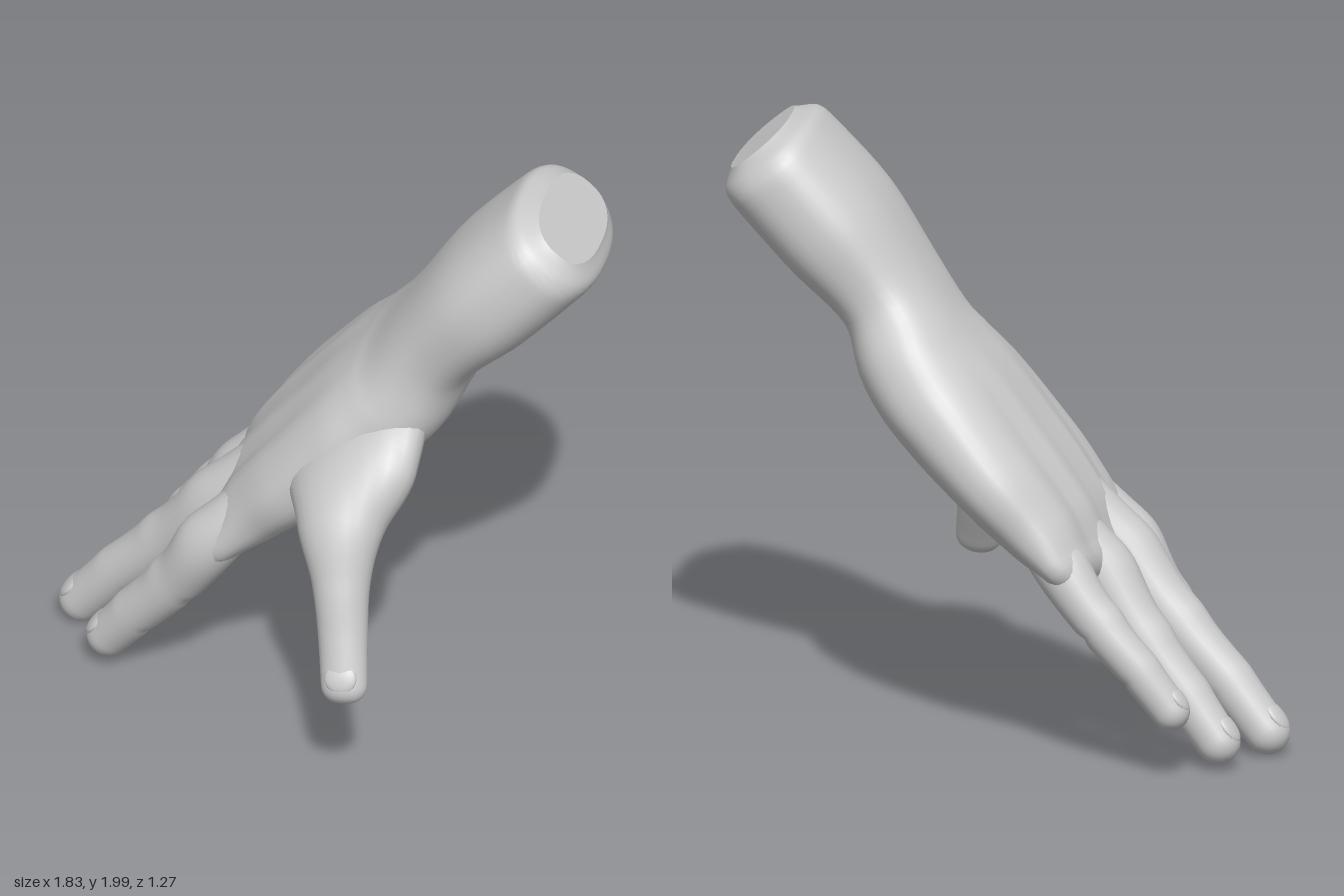
import * as THREE from 'three';
import { toCreasedNormals } from 'three/addons/utils/BufferGeometryUtils.js';

const material = new THREE.MeshStandardMaterial({ color: 0xcccccc });
const bump = (x, c, s) => Math.exp(-(((x - c) / s) ** 2));

// Smooth path through stations [x, y, z, halfWidth, halfThickness];
// the width direction turns from refStart to refEnd
function makePath(stations, refStart, refEnd = refStart) {
  const centre = new THREE.CatmullRomCurve3(stations.map((s) => new THREE.Vector3(s[0], s[1], s[2])));
  const radii = new THREE.CatmullRomCurve3(stations.map((s) => new THREE.Vector3(s[3], s[4], 0)), false, 'catmullrom', 0.4);
  return (t) => {
    const T = centre.getTangent(t);
    const side = refStart.clone().lerp(refEnd, t);
    side.addScaledVector(T, -side.dot(T)).normalize();
    const n = T.clone().cross(side);
    const r = radii.getPoint(t);
    return { c: centre.getPoint(t), T, side, n, w: r.x, h: r.y };
  };
}

// Skin the path with rings and a rounded end; shape(t, u, v) adds [along normal, along path]
function loft(name, path, { rings = 48, sides = 24, power = 1, shape = () => [0, 0] }) {
  const pos = [], index = [], dome = 6;
  const rows = [];
  rows.push({ ...path(0), w: 0, h: 0, t: 0 });
  for (let i = 0; i <= rings; i++) rows.push({ ...path(i / rings), t: i / rings });
  const end = path(1);
  for (let i = 1; i <= dome; i++) {
    const a = (i / dome) * Math.PI / 2, k = Math.cos(a);
    rows.push({
      ...end, t: 1, c: end.c.clone().addScaledVector(end.T, end.h * Math.sin(a)),
      w: end.w - end.h * (1 - k), h: end.h * k,
    });
  }
  rows.push({ ...rows[rows.length - 1], w: 0, h: 0 });
  const soft = (x) => Math.sign(x) * Math.abs(x) ** power;
  rows.forEach((r) => {
    for (let j = 0; j < sides; j++) {
      const a = (j / sides) * Math.PI * 2;
      const u = soft(Math.cos(a)), v = soft(Math.sin(a));
      const [dn, dT] = shape(r.t, u, v);
      const p = r.c.clone().addScaledVector(r.side, r.w * u)
        .addScaledVector(r.n, r.h * v * (1 + dn)).addScaledVector(r.T, dT);
      pos.push(p.x, p.y, p.z);
    }
  });
  for (let i = 0; i < rows.length - 1; i++) {
    for (let j = 0; j < sides; j++) {
      const a = i * sides + j, b = i * sides + (j + 1) % sides;
      index.push(a, b, a + sides, b, b + sides, a + sides);
    }
  }
  const g = new THREE.BufferGeometry();
  g.setAttribute('position', new THREE.Float32BufferAttribute(pos, 3));
  g.setIndex(index);
  const mesh = new THREE.Mesh(toCreasedNormals(g, 0.6), material);
  mesh.name = name;
  return mesh;
}

// Thin curved nail lying on the back of a finger tip
function nail(name, path) {
  const f = path(0.97);
  const mesh = new THREE.Mesh(new THREE.SphereGeometry(1, 20, 12), material);
  mesh.name = name;
  mesh.scale.set(f.w * 0.7, f.h * 0.26, f.h * 0.8);
  mesh.quaternion.setFromRotationMatrix(new THREE.Matrix4().makeBasis(f.side, f.n, f.T));
  mesh.position.copy(f.c).addScaledVector(f.n, f.h * 0.78).addScaledVector(f.T, f.h * 0.05);
  return mesh;
}

export function createModel() {
  const group = new THREE.Group();
  group.name = 'hand';
  const Z = new THREE.Vector3(0, 0, 1), X = new THREE.Vector3(1, 0, 0);

  // Forearm with bevelled end, wrist and palm in one skin
  const palmPath = makePath([
    [0.805, 1.91, -0.055, 0.21, 0.12],
    [0.775, 1.875, -0.055, 0.265, 0.18],
    [0.74, 1.835, -0.055, 0.29, 0.19],
    [0.56, 1.64, -0.055, 0.305, 0.19],
    [0.38, 1.42, -0.075, 0.28, 0.16],
    [0.275, 1.235, -0.11, 0.345, 0.188],
    [0.135, 1.08, -0.145, 0.405, 0.188],
    [-0.05, 0.885, -0.18, 0.43, 0.165],
    [-0.18, 0.745, -0.2, 0.41, 0.14],
    [-0.28, 0.63, -0.212, 0.41, 0.1],
  ], Z);
  group.add(loft('forearmAndPalm', palmPath, {
    rings: 54, sides: 48, power: 0.82,
    shape: (t, u, v) => {
      const knuckles = THREE.MathUtils.smoothstep(t, 0.55, 0.9);
      // Tendon ridges on the back, hollow in the palm
      const dn = v > 0
        ? 0.09 * knuckles * Math.cos((Math.PI * 2 * (u - 0.24)) / 0.487) * v
        : 0.3 * v * bump(t, 0.7, 0.14) * bump(u, 0.15, 0.35);
      // Little-finger side ends further back
      return [dn, -0.06 * t ** 6 * Math.max(0, -u)];
    },
  }));

  // Four fingers: base, two joints and tip
  const fingers = {
    index: [[-0.2, 0.76, 0.08], [-0.345, 0.585, 0.1], [-0.46, 0.41, 0.07], [-0.6, 0.24, 0.03], [-0.705, 0.108, -0.005]],
    middle: [[-0.2, 0.81, -0.09], [-0.37, 0.615, -0.1], [-0.54, 0.415, -0.15], [-0.71, 0.24, -0.19], [-0.85, 0.078, -0.225]],
    ring: [[-0.19, 0.79, -0.29], [-0.335, 0.605, -0.3], [-0.47, 0.41, -0.345], [-0.61, 0.24, -0.38], [-0.725, 0.092, -0.41]],
    little: [[-0.12, 0.82, -0.48], [-0.24, 0.66, -0.51], [-0.36, 0.51, -0.545], [-0.49, 0.37, -0.565], [-0.6, 0.235, -0.572]],
  };
  const widths = [0.085, 0.097, 0.086, 0.078, 0.071];
  for (const [name, points] of Object.entries(fingers)) {
    const size = { index: 1, middle: 1.03, ring: 1, little: 0.87 }[name];
    const path = makePath(points.map((p, i) => [...p, widths[i] * size, widths[i] * size]), Z);
    group.add(loft(name + 'Finger', path, {
      shape: (t, u, v) => {
        // Knuckles on the back, creases underneath
        const joints = v > 0
          ? 0.1 * (bump(t, 0.25, 0.08) + bump(t, 0.52, 0.06) + 0.5 * bump(t, 0.77, 0.05))
          : -0.12 * (bump(t, 0.52, 0.02) + bump(t, 0.77, 0.02));
        return [joints * Math.abs(v), 0];
      },
    }));
    group.add(nail(name + 'Nail', path));
  }

  // Thumb: broad base rising out of the palm, narrowing through the web to the tip
  const alongPalm = new THREE.Vector3(0.6, 0.8, 0);
  const thumbPath = makePath([
    [0.11, 1.07, -0.12, 0.2, 0.05],
    [0.155, 1.055, 0.06, 0.27, 0.115],
    [0.15, 0.99, 0.21, 0.25, 0.13],
    [0.15, 0.885, 0.345, 0.15, 0.118],
    [0.175, 0.73, 0.44, 0.094, 0.09],
    [0.198, 0.58, 0.505, 0.08, 0.075],
    [0.22, 0.44, 0.573, 0.075, 0.06],
  ], alongPalm, X);
  group.add(loft('thumb', thumbPath, {}));
  group.add(nail('thumbNail', thumbPath));

  return group;
}
